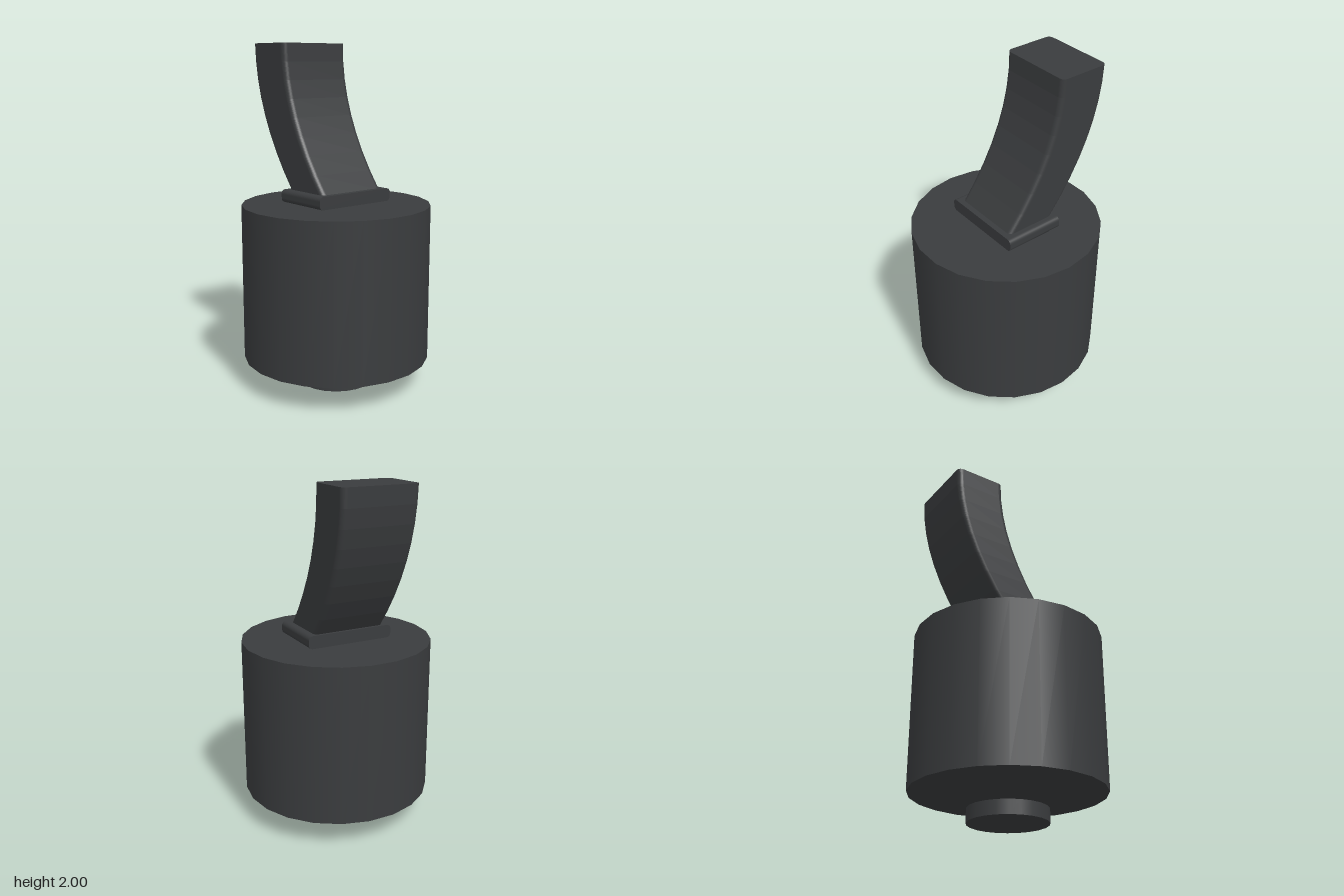
import * as THREE from 'three';

const material = new THREE.MeshStandardMaterial({ color: 0x3a3c3e });
const flatMaterial = new THREE.MeshStandardMaterial({ color: 0x3a3c3e, flatShading: true });

// Rounded rectangle centred on the origin
function roundedRect(width, height, r) {
  const x = width / 2, y = height / 2;
  const shape = new THREE.Shape();
  shape.absarc(x - r, y - r, r, 0, Math.PI / 2);
  shape.absarc(-x + r, y - r, r, Math.PI / 2, Math.PI);
  shape.absarc(-x + r, -y + r, r, Math.PI, Math.PI * 1.5);
  shape.absarc(x - r, -y + r, r, Math.PI * 1.5, Math.PI * 2);
  shape.closePath();
  return shape;
}

// Upright 22-sided cylinder between two heights, with a corner on the x axis
function drum(name, radius, bottom, top) {
  const geometry = new THREE.CylinderGeometry(radius, radius, top - bottom, 22, 1, false, Math.PI / 2);
  const mesh = new THREE.Mesh(geometry, material);
  mesh.name = name;
  mesh.position.y = (bottom + top) / 2;
  return mesh;
}

// Flat plate, its rounded corners seen from the front
function createPlate() {
  const depth = 0.356;
  const geometry = new THREE.ExtrudeGeometry(roundedRect(0.526, 0.075, 0.025),
    { depth, bevelEnabled: false, curveSegments: 4 });
  geometry.translate(0, 1.127, -depth / 2);
  const mesh = new THREE.Mesh(geometry, flatMaterial);
  mesh.name = 'mountingPlate';
  return mesh;
}

// Lever: rounded bar whose level sections sweep back along a parabola
function createLever() {
  const bottom = 1.16, height = 0.84;
  const geometry = new THREE.ExtrudeGeometry(roundedRect(0.456, 0.305, 0.03),
    { depth: height, steps: 8, bevelEnabled: false, curveSegments: 4 });
  geometry.rotateX(-Math.PI / 2);
  const p = geometry.attributes.position;
  for (let i = 0; i < p.count; i++) {
    const u = 1 - p.getY(i) / height;
    p.setXYZ(i, p.getX(i) * (1 - 0.045 * u), p.getY(i) + bottom, p.getZ(i) - 0.344 + 0.339 * u * u);
  }
  geometry.computeVertexNormals();
  const mesh = new THREE.Mesh(geometry, flatMaterial);
  mesh.name = 'curvedLever';
  return mesh;
}

export function createModel() {
  const group = new THREE.Group();
  group.name = 'leverOnDrum';
  group.add(
    drum('foot', 0.228, 0, 0.08),
    drum('body', 0.552, 0.16, 1.08),
    createPlate(),
    createLever(),
  );
  return group;
}
